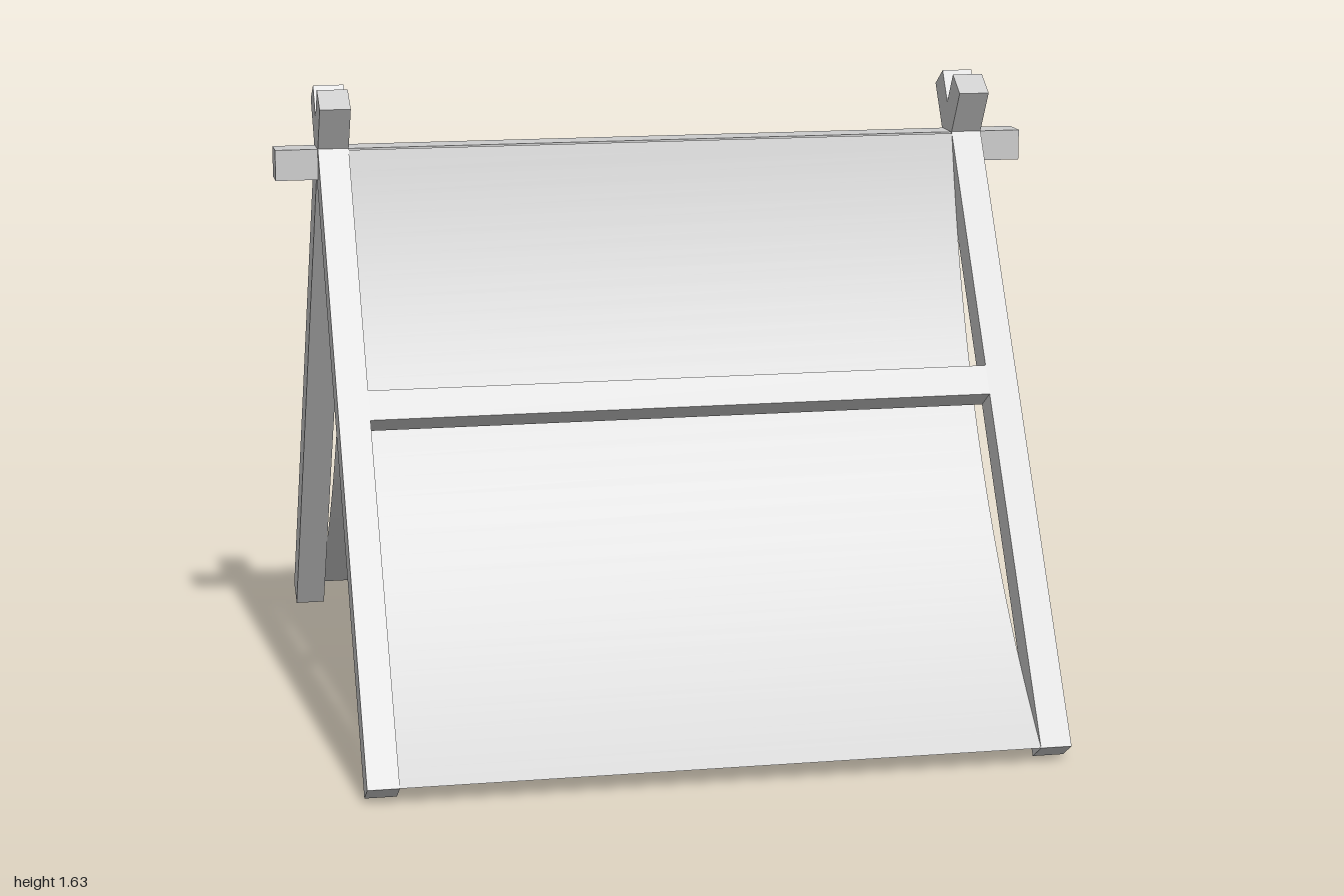
import * as THREE from 'three';

const material = new THREE.MeshStandardMaterial({ color: 0xcccccc });
const clothMaterial = new THREE.MeshStandardMaterial({ color: 0xcccccc, side: THREE.DoubleSide });

const T = 0.08;                                  // timber thickness
const foot = new THREE.Vector2(0.957, 0.045);    // (z, y) outer lower corner of a leg
const tip = new THREE.Vector2(-0.05, 1.635);     // (z, y) outer upper corner of a leg
const along = tip.clone().sub(foot);
const length = along.length();
along.normalize();
const inward = new THREE.Vector2(-along.y, along.x); // from outer face to the inside

// Point at a distance up the leg and a depth behind its outer face
const onLeg = (up, depth) =>
  foot.clone().addScaledVector(along, up).addScaledVector(inward, depth);

function beam(name, w, h, x, up) {
  const mesh = new THREE.Mesh(new THREE.BoxGeometry(w, h, T), material);
  const p = onLeg(up, T / 2);
  mesh.name = name;
  mesh.position.set(x, p.y, p.x);
  mesh.rotation.x = Math.atan2(along.x, along.y);
  return mesh;
}

// Thin sheet hung from the ridge to the feet, sagging inwards
function sheet() {
  const span = (foot.x - 0.05) / -along.x;
  const geo = new THREE.PlaneGeometry(1.62, 1, 1, 32);
  const pos = geo.attributes.position;
  for (let i = 0; i < pos.count; i++) {
    const t = pos.getY(i) + 0.5;
    const p = onLeg(t * span, 0.15 * 4 * t * (1 - t));
    pos.setXYZ(i, pos.getX(i), p.y, p.x);
  }
  geo.computeVertexNormals();
  const mesh = new THREE.Mesh(geo, clothMaterial);
  mesh.name = 'clothSheet';
  return mesh;
}

// One sloping side: two legs, a cross bar and the cloth
function side(name) {
  const group = new THREE.Group();
  group.name = name;
  group.add(
    beam('leftLeg', T, length, 0.85, length / 2),
    beam('rightLeg', T, length, -0.85, length / 2),
    beam('crossBar', 1.62, T, 0, 0.99),
    sheet()
  );
  return group;
}

export function createModel() {
  const model = new THREE.Group();
  model.name = 'tent';

  const front = side('frontSide');
  const back = side('backSide');
  back.rotation.y = Math.PI;
  model.add(front, back);

  // Ridge pole through the crossed legs
  const ridge = new THREE.Mesh(new THREE.BoxGeometry(2, T, T), material);
  ridge.name = 'ridgePole';
  ridge.position.y = 1.44;
  model.add(ridge);
  return model;
}
